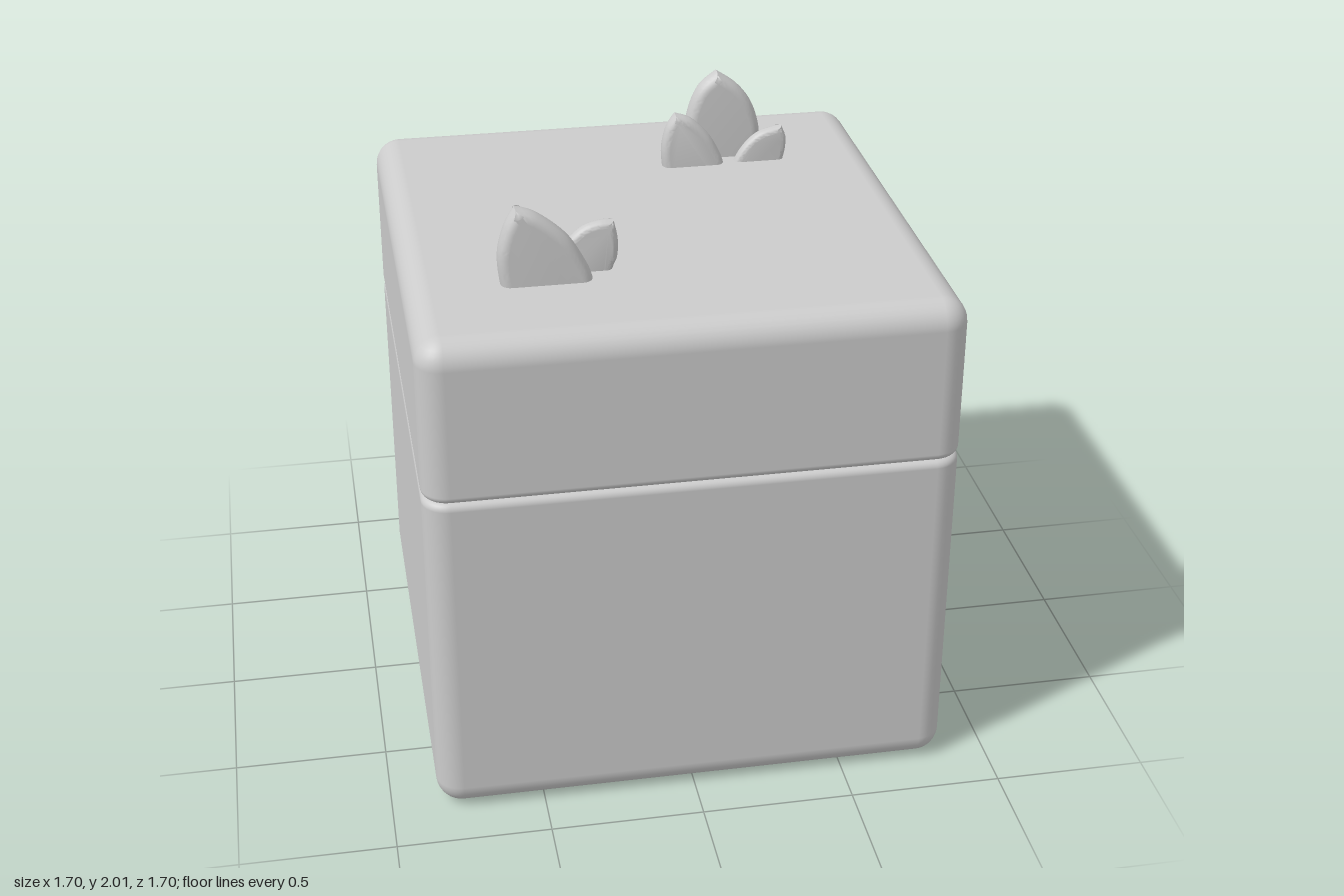
import * as THREE from 'three';
import { toCreasedNormals } from 'three/addons/utils/BufferGeometryUtils.js';

const HALF = 0.85, EDGE = 0.085, SEAM = 0.025, TOP = 1.7, SPLIT = 1.16;
const material = new THREE.MeshStandardMaterial({ color: 0xcccccc });

// Square block with rounded upright corners and its own rounding at bottom and top
function roundedBlock(name, y0, y1, rBottom, rTop) {
  const steps = 8, rings = [];
  for (let i = 0; i <= steps; i++) {
    const a = -Math.PI / 2 * (1 - i / steps);
    rings.push({ y: y0 + rBottom * (1 + Math.sin(a)), inset: rBottom * (1 - Math.cos(a)), a });
  }
  for (let i = 0; i <= steps; i++) {
    const a = Math.PI / 2 * i / steps;
    rings.push({ y: y1 - rTop * (1 - Math.sin(a)), inset: rTop * (1 - Math.cos(a)), a });
  }
  const pos = [], nor = [], index = [], n = 4 * (steps + 1), c = HALF - EDGE;
  for (const { y, inset, a } of rings) {
    for (let q = 0; q < 4; q++) {
      for (let i = 0; i <= steps; i++) {
        const t = (q + i / steps) * Math.PI / 2, mid = (q + 0.5) * Math.PI / 2, r = EDGE - inset;
        pos.push(c * Math.sign(Math.cos(mid)) + r * Math.cos(t), y, c * Math.sign(Math.sin(mid)) + r * Math.sin(t));
        nor.push(Math.cos(t) * Math.cos(a), Math.sin(a), Math.sin(t) * Math.cos(a));
      }
    }
  }
  for (let k = 0; k < rings.length - 1; k++) {
    for (let i = 0; i < n; i++) {
      const p = k * n + i, s = k * n + (i + 1) % n;
      index.push(p, p + n, s, s, p + n, s + n);
    }
  }
  // Flat bottom and top
  const last = (rings.length - 1) * n;
  for (let i = 1; i < n - 1; i++) index.push(0, i, i + 1, last, last + i + 1, last + i);
  const geo = new THREE.BufferGeometry();
  geo.setAttribute('position', new THREE.Float32BufferAttribute(pos, 3));
  geo.setAttribute('normal', new THREE.Float32BufferAttribute(nor, 3));
  geo.setIndex(index);
  const mesh = new THREE.Mesh(geo, material);
  mesh.name = name;
  return mesh;
}

// Upright pointed leaf with a rounded rim; its root is sunk into the lid
function leaf({ name, left, tip, right, back, front }) {
  const v = (p) => new THREE.Vector2(p[0], p[1]);
  const shape = new THREE.Shape();
  shape.moveTo(left[0][0], left[0][1]);
  shape.splineThru([...left.slice(1), tip].map(v));
  shape.splineThru(right.map(v));
  const thick = front - back, bevel = thick * 0.47;
  const geo = new THREE.ExtrudeGeometry(shape, {
    depth: thick - 2 * bevel, curveSegments: 8, bevelEnabled: true,
    bevelThickness: bevel, bevelSize: bevel * 0.85, bevelOffset: -bevel * 0.85, bevelSegments: 6,
  });
  geo.translate(0, 0, back + bevel);
  const mesh = new THREE.Mesh(toCreasedNormals(geo, 0.65), material);
  mesh.name = name;
  return mesh;
}

// Outlines run up the left side, to the tip, and down the right side
const frontLeaves = [
  { name: 'largeFrontLeaf', back: 0.41, front: 0.49, tip: [-0.5, 1.955],
    left: [[-0.53, 1.62], [-0.55, 1.7], [-0.557, 1.8], [-0.535, 1.89]],
    right: [[-0.43, 1.927], [-0.34, 1.85], [-0.285, 1.76], [-0.262, 1.7], [-0.25, 1.62]] },
  { name: 'smallFrontLeaf', back: 0.365, front: 0.415, tip: [-0.186, 1.862],
    left: [[-0.4, 1.62], [-0.385, 1.7], [-0.35, 1.78], [-0.29, 1.84], [-0.235, 1.86]],
    right: [[-0.173, 1.8], [-0.175, 1.74], [-0.19, 1.7], [-0.21, 1.62]] },
];
const backLeaves = [
  { name: 'largeBackLeaf', back: -0.5, front: -0.42, tip: [0.31, 2.005],
    left: [[0.22, 1.62], [0.2, 1.7], [0.197, 1.78], [0.215, 1.88], [0.25, 1.955]],
    right: [[0.38, 1.955], [0.43, 1.89], [0.458, 1.81], [0.46, 1.75], [0.45, 1.7], [0.42, 1.62]] },
  { name: 'leftBackLeaf', back: -0.42, front: -0.355, tip: [0.152, 1.888],
    left: [[0.125, 1.62], [0.109, 1.7], [0.106, 1.77], [0.122, 1.84]],
    right: [[0.21, 1.865], [0.27, 1.805], [0.305, 1.745], [0.322, 1.7], [0.335, 1.62]] },
  { name: 'rightBackLeaf', back: -0.412, front: -0.365, tip: [0.525, 1.82],
    left: [[0.34, 1.62], [0.362, 1.7], [0.4, 1.76], [0.45, 1.8]],
    right: [[0.541, 1.78], [0.541, 1.74], [0.533, 1.7], [0.51, 1.62]] },
];

export function createModel() {
  const model = new THREE.Group();
  model.name = 'plantedBlock';
  model.add(roundedBlock('lowerBlock', 0, SPLIT, EDGE, SEAM));
  model.add(roundedBlock('upperLayer', SPLIT, TOP, SEAM, EDGE));
  for (const [name, leaves] of [['frontSprout', frontLeaves], ['backSprout', backLeaves]]) {
    const sprout = new THREE.Group();
    sprout.name = name;
    for (const spec of leaves) sprout.add(leaf(spec));
    model.add(sprout);
  }
  return model;
}
